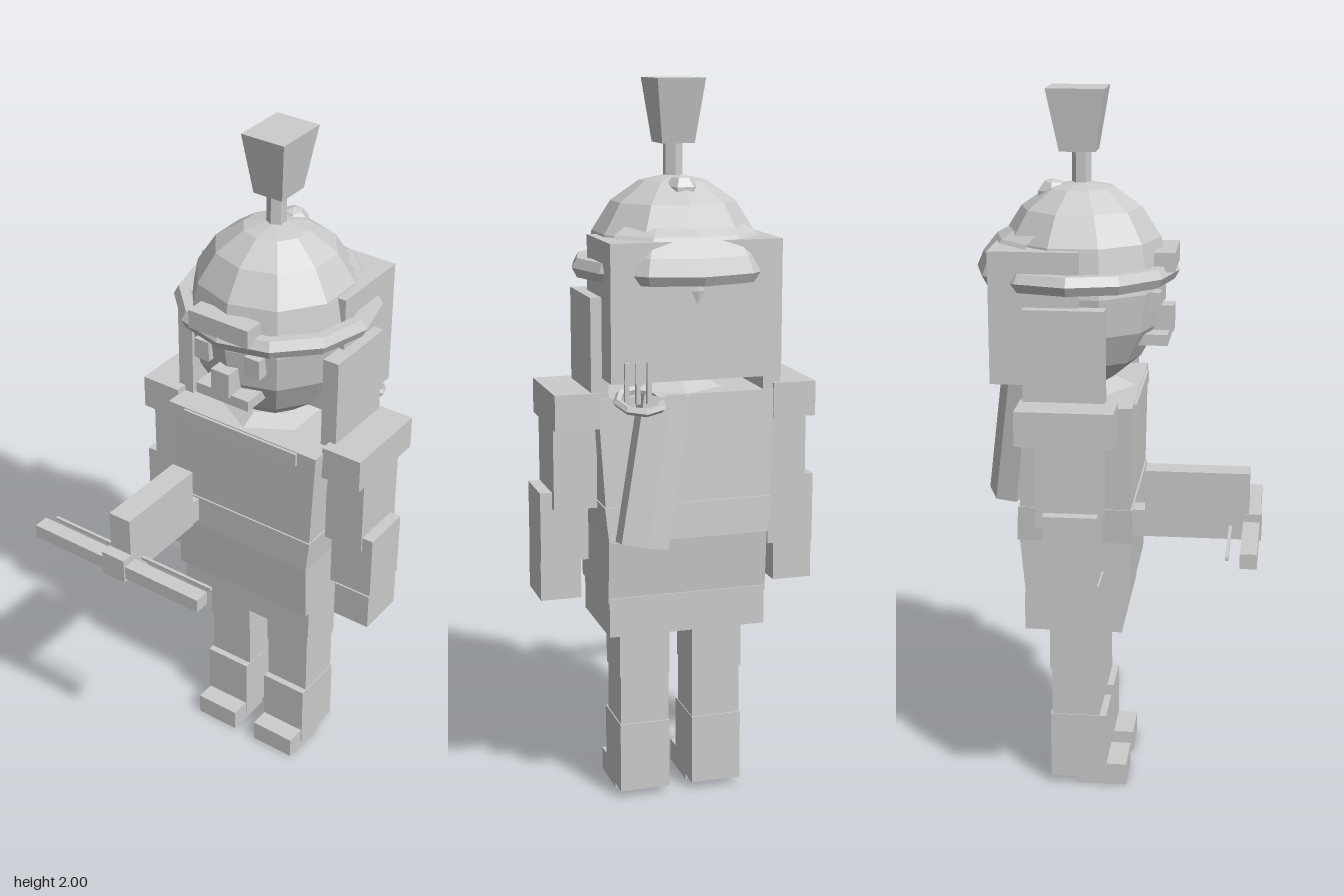
import * as THREE from 'three';

const CX = 0.036, CZ = -0.108; // body axis

export function createModel() {
  const model = new THREE.Group();
  model.name = 'helmetedArcher';
  const grey = new THREE.MeshStandardMaterial({ color: 0xcccccc });
  grey.name = 'light grey';

  const add = (name, geo, x = 0, y = 0, z = 0) => {
    const flat = geo.index ? geo.toNonIndexed() : geo;
    flat.computeVertexNormals();
    const m = new THREE.Mesh(flat, grey);
    m.name = name;
    m.position.set(x, y, z);
    model.add(m);
    return m;
  };
  // box from its extents
  const box = (name, x0, x1, y0, y1, z0, z1) =>
    add(name, new THREE.BoxGeometry(x1 - x0, y1 - y0, z1 - z0), (x0 + x1) / 2, (y0 + y1) / 2, (z0 + z1) / 2);
  // box on both sides, extents measured outward from the body axis
  const pair = (name, a, b, ...rest) => {
    box('left' + name, CX + a, CX + b, ...rest);
    box('right' + name, CX - b, CX - a, ...rest);
  };
  // box whose bottom and top differ: b and t are [x0, x1, z0, z1]
  const taper = (name, y0, y1, b, t) => {
    const geo = new THREE.BoxGeometry(1, 1, 1);
    const p = geo.attributes.position;
    for (let i = 0; i < p.count; i++) {
      const up = p.getY(i) > 0, r = up ? t : b;
      p.setXYZ(i, p.getX(i) > 0 ? r[1] : r[0], up ? y1 : y0, p.getZ(i) > 0 ? r[3] : r[2]);
    }
    return add(name, geo);
  };

  // legs
  pair('Thigh', 0.033, 0.177, 0.36, 0.52, -0.187, -0.04);
  pair('Shin', 0.035, 0.174, 0.2, 0.36, -0.182, -0.045);
  pair('Boot', 0.033, 0.177, 0.02, 0.22, -0.187, -0.025);
  pair('Foot', 0.036, 0.174, 0, 0.065, -0.115, 0.033);

  // torso and skirt
  taper('tunic', 0.865, 1.17, [-0.195, 0.268, -0.258, 0.05], [-0.212, 0.285, -0.245, 0.055]);
  taper('belt', 0.775, 0.875, [-0.19, 0.262, -0.268, 0.055], [-0.199, 0.272, -0.263, 0.055]);
  taper('skirt', 0.6, 0.79, [-0.19, 0.26, -0.245, 0.045], [-0.189, 0.261, -0.262, 0.053]);
  box('skirtHem', -0.186, 0.258, 0.505, 0.615, -0.25, 0.025);
  box('chestBand', -0.155, 0.225, 1.13, 1.167, 0.04, 0.063);
  add('neck', new THREE.CylinderGeometry(0.09, 0.15, 0.03, 6), CX, 1.18, -0.1);

  // arms
  pair('Shoulder', 0.245, 0.366, 1.09, 1.187, -0.25, 0.017);
  pair('UpperArm', 0.24, 0.36, 0.86, 1.1, -0.195, -0.02);
  pair('Forearm', 0.26, 0.393, 0.71, 0.905, -0.172, -0.025);
  pair('Hand', 0.28, 0.393, 0.6, 0.71, -0.165, -0.02);

  // head, hair and cheek guards
  const head = add('head', new THREE.SphereGeometry(1, 10, 8).rotateY(Math.PI / 2), CX, 1.46, CZ);
  head.scale.set(0.233, 0.285, 0.233);
  box('hair', -0.197, 0.271, 1.225, 1.59, -0.335, -0.09);
  pair('CheekGuard', 0.217, 0.265, 1.17, 1.44, -0.24, -0.018);
  pair('Eye', 0.058, 0.105, 1.402, 1.46, 0.04, 0.118);
  box('nose', 0.008, 0.066, 1.335, 1.408, 0.08, 0.15);
  box('mouth', -0.05, 0.12, 1.307, 1.338, 0.05, 0.138);

  // helmet: dome, brim, flared neck guard, badge and plume
  const dome = add('helmetDome', new THREE.SphereGeometry(1, 10, 4, 0, Math.PI * 2, 0, Math.PI / 2)
    .rotateY(Math.PI / 2), CX, 1.5, CZ);
  dome.scale.set(0.238, 0.25, 0.238);
  const brim = add('brim', new THREE.TorusGeometry(0.257, 0.027, 6, 12).rotateX(Math.PI / 2), CX, 1.505, -0.12);
  brim.scale.y = 1.1;
  const flare = [[0.2, 1.52], [0.284, 1.505], [0.265, 1.55], [0.225, 1.6], [0.19, 1.62]];
  const guard = new THREE.LatheGeometry(flare.map(([r, y]) => new THREE.Vector2(r, y)),
    4, Math.PI * 2 / 3, Math.PI * 2 / 3);
  add('neckGuard', guard, CX, 0, -0.12);
  box('helmetBadge', -0.058, 0.132, 1.515, 1.568, 0.1, 0.157);
  add('helmetKnob', new THREE.SphereGeometry(0.047, 6, 5), CX, 1.705, -0.188);
  add('plumeStem', new THREE.CylinderGeometry(0.027, 0.027, 0.12, 6), CX, 1.785, CZ);
  taper('plume', 1.83, 2, [-0.008, 0.082, -0.165, -0.065], [-0.028, 0.104, -0.199, -0.037]);

  // crossbow
  box('crossbowGrip', -0.178, -0.108, 0.795, 0.985, 0.088, 0.375);
  box('crossbowMount', -0.175, -0.112, 0.795, 0.87, 0.04, 0.09);
  box('crossbowNose', -0.182, -0.106, 0.795, 0.87, 0.365, 0.41);
  box('bowLimb', -0.432, 0.143, 0.807, 0.848, 0.36, 0.405);
  box('bowString', -0.423, 0.132, 0.825, 0.834, 0.321, 0.33);

  // quiver slung over the back, with strap ring and arrows
  const top = new THREE.Vector3(0.115, 1.175, -0.295), end = new THREE.Vector3(0.195, 0.79, -0.352);
  const quiver = add('quiver', new THREE.CylinderGeometry(0.06, 0.06, top.distanceTo(end), 6));
  quiver.scale.x = 1.25;
  quiver.position.copy(top).add(end).multiplyScalar(0.5);
  quiver.quaternion.setFromUnitVectors(new THREE.Vector3(0, 1, 0), top.clone().sub(end).normalize());
  const ring = add('strapRing', new THREE.TorusGeometry(0.062, 0.012, 5, 8).rotateX(Math.PI / 2), 0.19, 1.175, -0.325);
  ring.rotation.x = -0.3;
  for (const x of [0.17, 0.2, 0.23]) box('arrow', x - 0.006, x + 0.006, 1.17, 1.28, -0.343, -0.331);

  return model;
}
